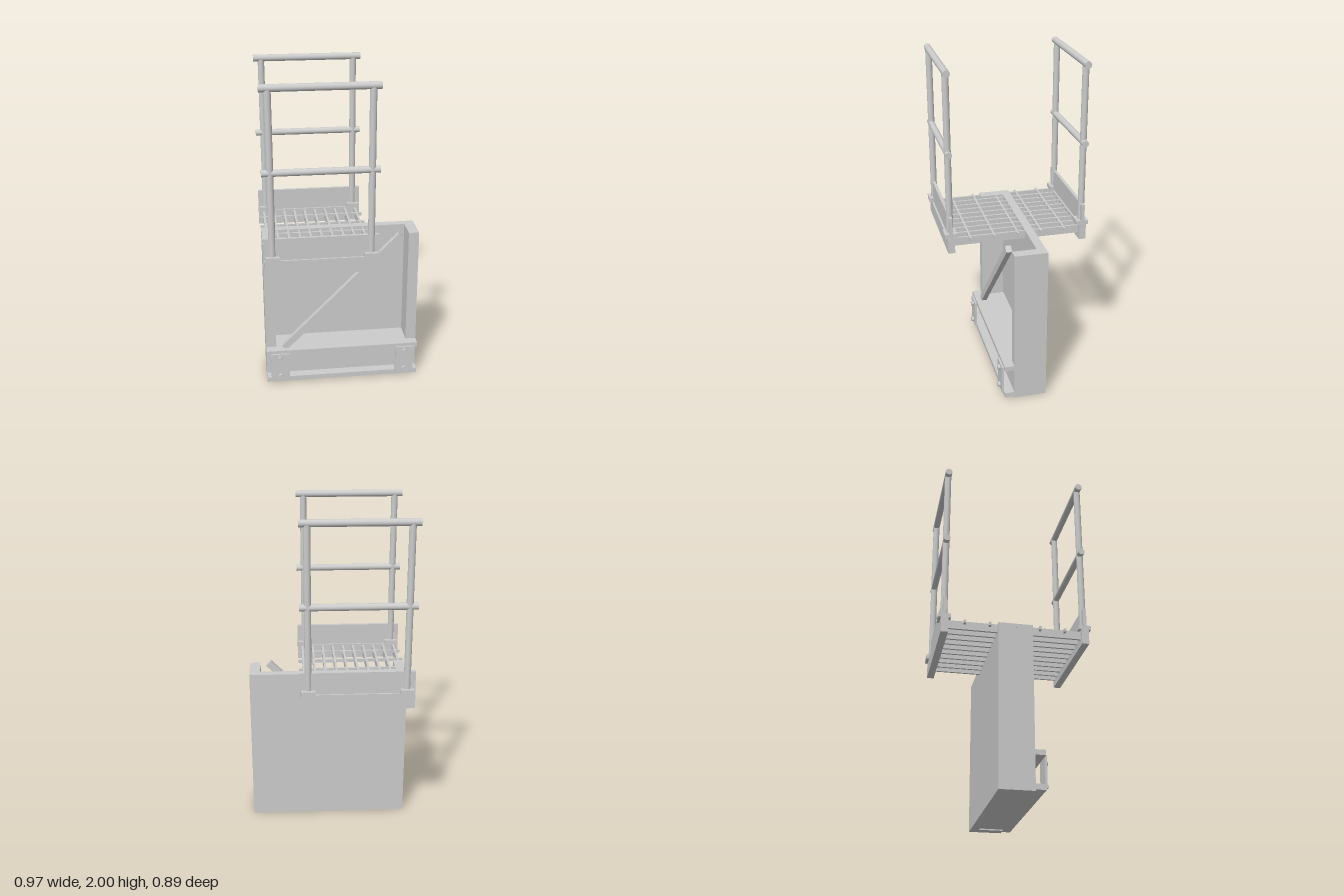
import * as THREE from 'three';

const material = new THREE.MeshStandardMaterial({ color: 0xcccccc });

function add(parent, name, geometry, x, y, z) {
  const mesh = new THREE.Mesh(geometry, material);
  mesh.name = name;
  mesh.position.set(x, y, z);
  parent.add(mesh);
  return mesh;
}

// Box given by its limits on each axis
function box(parent, name, [x0, x1], [y0, y1], [z0, z1]) {
  return add(parent, name, new THREE.BoxGeometry(x1 - x0, y1 - y0, z1 - z0),
    (x0 + x1) / 2, (y0 + y1) / 2, (z0 + z1) / 2);
}

function group(parent, name) {
  const g = new THREE.Group();
  g.name = name;
  parent.add(g);
  return g;
}

export function createModel() {
  const model = new THREE.Group();
  model.name = 'gateWithWalkway';
  const W = 0.485;              // half width of the panel
  const deck = [-0.487, 0.18];  // walkway extent in x

  // Panel: U-shaped in plan, open at the front and top
  const plan = new THREE.Shape([
    [-W, -0.103], [W, -0.103], [W, 0.098], [0.42, 0.098],
    [0.42, -0.05], [-0.42, -0.05], [-0.42, 0.098], [-W, 0.098],
  ].map(([x, z]) => new THREE.Vector2(x, -z)));
  const panel = new THREE.ExtrudeGeometry(plan, { depth: 0.975, bevelEnabled: false });
  panel.rotateX(-Math.PI / 2);
  add(model, 'panel', panel, 0, 0, 0);

  // Bottom beam with projecting flanges
  const beam = group(model, 'bottomBeam');
  box(beam, 'beamCore', [-0.42, 0.42], [0.008, 0.23], [-0.05, 0.098]);
  box(beam, 'topFlange', [-W, W], [0.2, 0.23], [0.098, 0.157]);
  box(beam, 'bottomFlange', [-W, W], [0.008, 0.04], [0.098, 0.157]);

  // Bolted plates at both ends of the beam
  for (const x of [-0.4, 0.4]) {
    const plate = group(model, 'boltedPlate');
    box(plate, 'plate', [x - 0.058, x + 0.058], [0.028, 0.21], [0.157, 0.169]);
    for (const y of [0.055, 0.182]) {
      const bolt = new THREE.CylinderGeometry(0.016, 0.016, 0.016, 20).rotateX(Math.PI / 2);
      add(plate, 'bolt', bolt, x, y, 0.177);
    }
  }

  // Diagonal brace
  const brace = add(model, 'diagonalBrace', new THREE.BoxGeometry(1.045, 0.042, 0.034), 0, 0.6, 0.105);
  brace.rotation.z = Math.PI / 4;

  // Grating: bearing bars across, rods along the walkway
  const grating = group(model, 'grating');
  for (let i = 0; i < 10; i++) {
    const x = -0.454 + i * 0.067;
    box(grating, 'bearingBar', [x - 0.0065, x + 0.0065], [0.922, 0.972], [-0.39, 0.39]);
  }
  for (let i = -2; i <= 2; i++) {
    const z = i * 0.146 - 0.003;
    box(grating, 'crossRod', deck, [0.952, 0.972], [z - 0.0065, z + 0.0065]);
  }

  // Railings with stringer, toe board, posts and rails
  for (const z of [-0.411, 0.408]) {
    const railing = group(model, z > 0 ? 'frontRailing' : 'backRailing');
    box(railing, 'stringer', deck, [0.885, 0.98], [z - 0.021, z + 0.021]);
    box(railing, 'toeBoard', deck, [0.98, 1.113], [z - 0.01, z + 0.01]);
    for (const x of [-0.439, 0.134]) {
      box(railing, 'postFoot', [x - 0.041, x + 0.041], [0.98, 1.006], [z - 0.037, z + 0.037]);
      add(railing, 'post', new THREE.CylinderGeometry(0.02, 0.02, 0.98, 24), x, 1.49, z);
    }
    for (const [name, y, r] of [['topRail', 1.979, 0.021], ['midRail', 1.504, 0.02]]) {
      const rail = new THREE.CylinderGeometry(r, r, deck[1] - deck[0], 24).rotateZ(Math.PI / 2);
      add(railing, name, rail, (deck[0] + deck[1]) / 2, y, z);
    }
  }
  return model;
}
